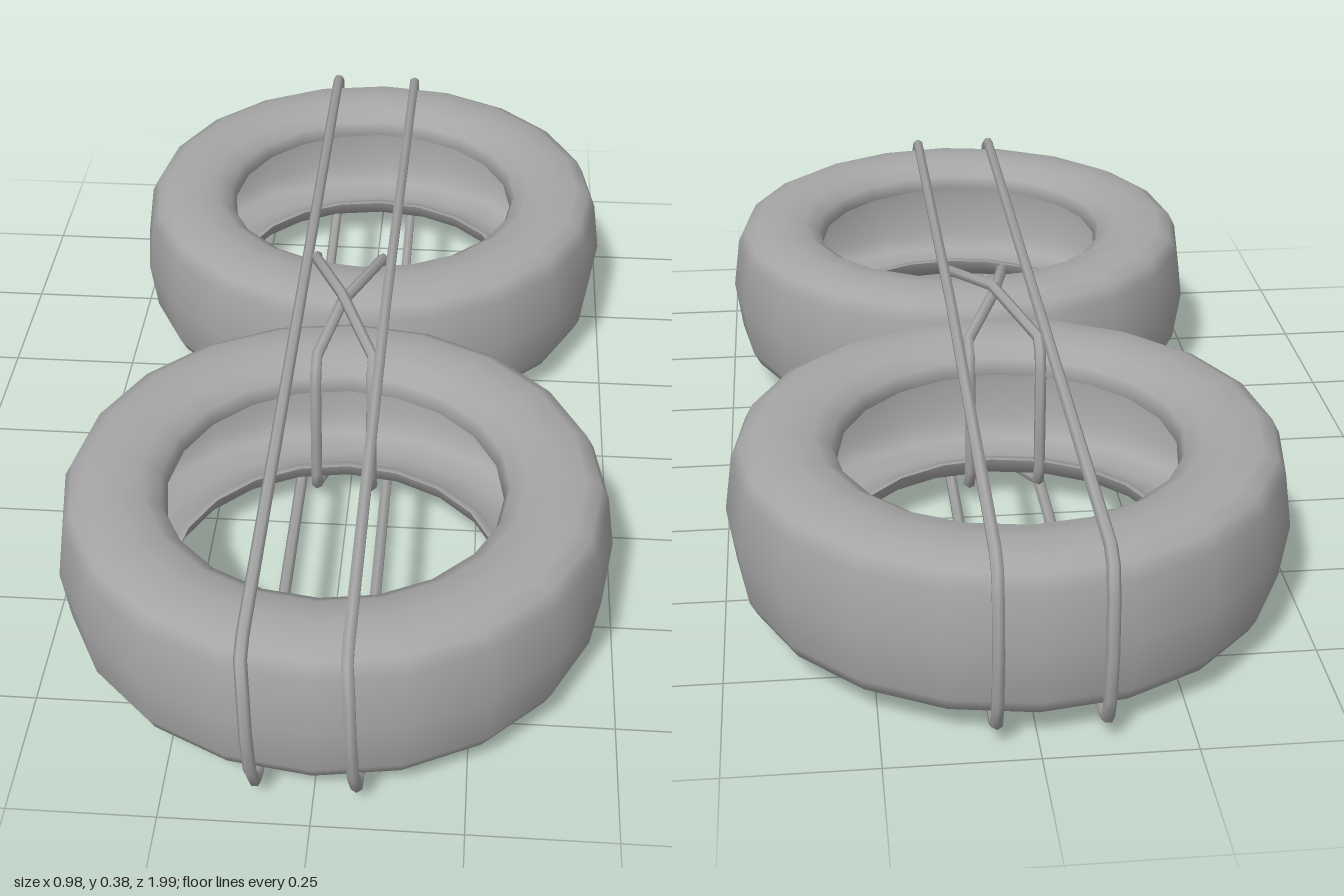
import * as THREE from 'three';

// Closed polyline whose tube rings sit exactly on the given corner points
class RopePath extends THREE.Curve {
  constructor(points) {
    super();
    this.points = points.map((p) => new THREE.Vector3(...p));
  }
  corner(i) {
    const n = this.points.length;
    return this.points[((i % n) + n) % n];
  }
  getPoint(t) {
    const s = t * this.points.length;
    const i = Math.floor(s + 1e-6);
    return this.corner(i).clone().lerp(this.corner(i + 1), Math.max(0, s - i));
  }
  getPointAt(t) {
    return this.getPoint(t);
  }
  getTangentAt(t) {
    const i = Math.round(t * this.points.length);
    const before = this.corner(i).clone().sub(this.corner(i - 1)).normalize();
    const after = this.corner(i + 1).clone().sub(this.corner(i)).normalize();
    return before.add(after).normalize();
  }
}

export function createModel() {
  const model = new THREE.Group();
  const grey = new THREE.MeshStandardMaterial({ color: 0xa6a6a6 });
  grey.name = 'grey';

  // Tyres: hollow ring with rounded shoulders and an inward lip
  const upperOuter = [
    [0.49, 0], [0.476, 0.1], [0.462, 0.127], [0.435, 0.141],
    [0.385, 0.146], [0.335, 0.138], [0.305, 0.118], [0.295, 0.09],
  ];
  const upperInner = [[0.31, 0.09], [0.33, 0.112], [0.385, 0.124], [0.435, 0.115], [0.458, 0.08], [0.465, 0]];
  const flip = (list) => list.filter((p) => p[1] > 0).map(([r, y]) => [r, -y]).reverse();
  const ring = [...flip(upperOuter), ...upperOuter, ...upperInner, ...flip(upperInner)];
  ring.push(ring[0]);
  const tyreGeometry = new THREE.LatheGeometry(ring.map(([r, y]) => new THREE.Vector2(r, y)), 20);
  for (const [name, y, z] of [['frontTyre', 0.19, 0.483], ['backTyre', 0.192, -0.499]]) {
    const tyre = new THREE.Mesh(tyreGeometry, grey);
    tyre.name = name;
    tyre.position.set(0, y, z);
    model.add(tyre);
  }

  const addRope = (name, points) => {
    const geometry = new THREE.TubeGeometry(new RopePath(points), points.length, 0.011, 6, true);
    const rope = new THREE.Mesh(geometry, grey);
    rope.name = name;
    model.add(rope);
  };

  // Long ropes: one loop on each side, around both tyres
  for (const [name, top, bottom, back] of [
    ['rightLongRope', -0.108, -0.094, -0.108],
    ['leftLongRope', 0.058, 0.072, 0.068],
  ]) {
    addRope(name, [
      [top, 0.345, 0], [top, 0.342, 0.92], [top, 0.325, 0.955],
      [top + 0.004, 0.27, 0.974], [(top + bottom) / 2, 0.19, 0.985],
      [bottom - 0.004, 0.1, 0.974], [bottom, 0.05, 0.95], [bottom, 0.038, 0.92],
      [bottom, 0.035, 0],
      [back, 0.036, -0.935], [back, 0.052, -0.965],
      [back, 0.1, -0.98], [back, 0.19, -0.988], [back, 0.28, -0.98],
      [back, 0.33, -0.965], [back, 0.347, -0.935],
    ]);
  }

  // Lashing: two crossed loops through the tyre holes, over and under the joint
  for (const [name, frontX, backX, peak, low] of [
    ['upperLashing', 0.045, -0.092, 0.372, 0.016],
    ['lowerLashing', -0.06, 0.04, 0.356, 0.03],
  ]) {
    addRope(name, [
      [-0.025, peak, 0], [frontX, 0.34, 0.16], [frontX, 0.325, 0.188],
      [frontX, 0.29, 0.197], [frontX, 0.09, 0.197], [frontX, 0.055, 0.188], [frontX, 0.04, 0.16],
      [-0.01, low, 0],
      [backX, 0.04, -0.175], [backX, 0.055, -0.206], [backX, 0.09, -0.216],
      [backX, 0.29, -0.216], [backX, 0.325, -0.206], [backX, 0.342, -0.175],
    ]);
  }

  return model;
}
